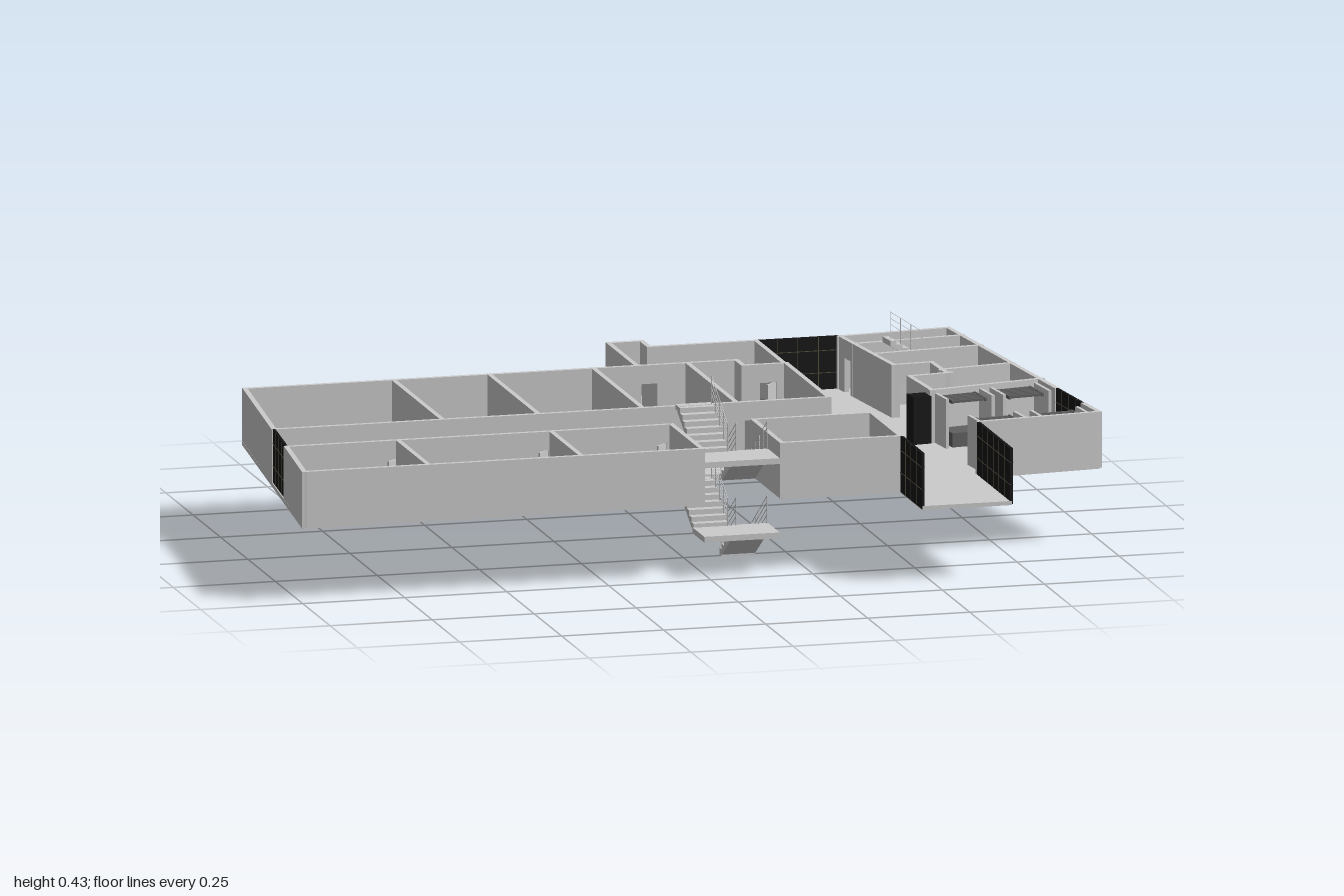
import * as THREE from 'three';

const FLOOR = 0.19, TOP = 0.318, T = 0.012;
const grey = new THREE.MeshStandardMaterial({ color: 0xcccccc, flatShading: true });
const black = new THREE.MeshStandardMaterial({ color: 0x141414 });
const dark = new THREE.MeshStandardMaterial({ color: 0x606060 });
const frame = new THREE.MeshStandardMaterial({ color: 0x55503c });

function add(parent, name, geo, mat = grey, x = 0, y = 0, z = 0) {
  const m = new THREE.Mesh(geo, mat);
  m.name = name;
  m.position.set(x, y, z);
  parent.add(m);
  return m;
}
const box = (w, h, d) => new THREE.BoxGeometry(w, h, d);

// A group whose local x axis runs along a plan line
function along(parent, name, x1, z1, x2, z2, y) {
  const g = new THREE.Group();
  g.name = name;
  g.position.set(x1, y, z1);
  g.rotation.y = Math.atan2(z1 - z2, x2 - x1);
  parent.add(g);
  return g;
}

// Straight wall; doors are distances from its start, swing picks the side the leaves open to
function wall(parent, name, [x1, z1, x2, z2], doors = [], swing = 1) {
  const len = Math.hypot(x2 - x1, z2 - z1), w = 0.04, h = 0.09, H = TOP - 0.183;
  const g = along(parent, name, x1, z1, x2, z2, 0.183);
  const s = new THREE.Shape();
  s.moveTo(-T / 2, 0);
  for (const d of doors) {
    s.lineTo(d, 0); s.lineTo(d, h); s.lineTo(d + w, h); s.lineTo(d + w, 0);
    const leaf = add(g, 'doorLeaf', box(w, h - 0.008, 0.004).translate(-w / 2, h / 2 + 0.004, 0), grey, d + w, 0, 0);
    leaf.rotation.y = swing * Math.PI / 4;
  }
  s.lineTo(len + T / 2, 0); s.lineTo(len + T / 2, H); s.lineTo(-T / 2, H);
  add(g, 'wallPanel', new THREE.ExtrudeGeometry(s, { depth: T, bevelEnabled: false }).translate(0, 0, -T / 2));
}

// Dark glazed screen with a grid of thin mullions
function glazing(parent, name, [x1, z1, x2, z2]) {
  const len = Math.hypot(x2 - x1, z2 - z1), H = TOP - 0.183, n = Math.max(3, Math.round(len / 0.05));
  const g = along(parent, name, x1, z1, x2, z2, 0.183);
  add(g, 'glassPane', box(len, H, 0.007), black, len / 2, H / 2, 0);
  for (let i = 1; i < n; i++) add(g, 'mullion', box(0.0015, H, 0.009), frame, len * i / n, H / 2, 0);
  for (const k of [0.35, 0.75]) add(g, 'transom', box(len, 0.0015, 0.009), frame, len / 2, H * k, 0);
}

function bar(parent, name, a, b, t = 0.002) {
  const d = new THREE.Vector3().subVectors(b, a);
  const m = add(parent, name, box(t, d.length(), t));
  m.position.copy(a).addScaledVector(d, 0.5);
  m.quaternion.setFromUnitVectors(new THREE.Vector3(0, 1, 0), d.normalize());
}

// Stair flight rising from its start to its end, with a railing on the given sides
function flight(parent, [x1, z1, x2, z2], y, rise, width, sides) {
  const run = Math.hypot(x2 - x1, z2 - z1), n = 7, dx = run / n, dy = rise / n;
  const g = along(parent, 'stairFlight', x1, z1, x2, z2, y);
  const s = new THREE.Shape();
  s.moveTo(0, 0);
  for (let i = 0; i < n; i++) { s.lineTo(i * dx, (i + 1) * dy); s.lineTo((i + 1) * dx, (i + 1) * dy); }
  s.lineTo(run, rise - dy * 1.3);
  s.lineTo(dx, 0);
  add(g, 'steps', new THREE.ExtrudeGeometry(s, { depth: width, bevelEnabled: false }).translate(0, 0, -width / 2));
  const P = (t, h, z) => new THREE.Vector3(t * run, t * rise + h, z);
  for (const side of sides) {
    const z = side * (width / 2 - 0.003);
    for (const h of [0.025, 0.04, 0.055, 0.07]) bar(g, 'handrail', P(0, h, z), P(1, h, z), 0.0012);
    for (let i = 0; i <= 4; i++) bar(g, 'railPost', P(i / 4, 0, z), P(i / 4, 0.07, z), 0.0015);
  }
}

export function createModel() {
  const model = new THREE.Group();
  model.name = 'buildingStorey';

  // Floor slab, notched for the front stairwell
  const outline = [[-0.9, -0.427], [-1, 0.497], [-0.02, 0.497], [-0.02, 0.215], [0.18, 0.215], [0.18, 0.48],
    [0.47, 0.48], [0.47, 0.68], [0.69, 0.68], [0.69, 0.38], [0.995, 0.35], [0.89, -0.637], [0.61, -0.61],
    [0.61, -0.62], [0.147, -0.62], [0.147, -0.685], [0.06, -0.685], [0.06, -0.427]];
  const slab = new THREE.Shape(outline.map(([x, z]) => new THREE.Vector2(x, z)));
  add(model, 'floorSlab', new THREE.ExtrudeGeometry(slab, { depth: 0.01, bevelEnabled: false }).rotateX(Math.PI / 2), grey, 0, FLOOR, 0);

  // Outer walls
  const outer = [
    [-0.894, -0.421, -0.943, 0.025], [-0.963, 0.215, -0.994, 0.491], [-0.994, 0.491, -0.02, 0.491],
    [0.18, 0.478, 0.47, 0.478], [0.69, 0.376, 0.992, 0.345], [0.992, 0.345, 0.981, 0.25],
    [0.962, 0.07, 0.885, -0.632], [0.885, -0.632, 0.612, -0.608], [0.41, -0.614, 0.147, -0.614],
    [0.147, -0.614, 0.147, -0.679], [0.147, -0.679, 0.066, -0.679], [0.066, -0.679, 0.066, -0.421]];
  outer.forEach(l => wall(model, 'outerWall', l));
  wall(model, 'backWall', [-0.894, -0.421, 0.31, -0.421], [0.97], -1);

  // Glazed screens
  [[-0.943, 0.025, -0.963, 0.215], [0.981, 0.25, 0.962, 0.07], [0.41, -0.614, 0.612, -0.614],
    [0.472, 0.484, 0.472, 0.68], [0.688, 0.38, 0.688, 0.68]].forEach(l => glazing(model, 'glazedScreen', l));

  // Corridor walls with open doors
  wall(model, 'backCorridorWall', [-0.943, 0.025, 0.415, 0.025], [0.17, 0.41, 0.85, 1.15], -1);
  wall(model, 'frontCorridorWall', [-0.963, 0.215, -0.02, 0.215], [0.23, 0.6, 0.89], 1);
  wall(model, 'frontRoomWall', [0.18, 0.215, 0.47, 0.215], [0.02], 1);

  // Room dividers
  for (const x of [-0.53, -0.295, -0.04, 0.19]) wall(model, 'backRoomDivider', [x, -0.421, x, 0.025]);
  for (const x of [-0.69, -0.315, -0.02]) wall(model, 'frontRoomDivider', [x, 0.215, x, 0.491]);
  for (const x of [0.18, 0.47]) wall(model, 'frontRoomSide', [x, 0.215, x, 0.478]);
  wall(model, 'backRoomEnd', [0.415, -0.36, 0.415, 0.025]);
  wall(model, 'recessSide', [0.31, -0.421, 0.31, -0.36]);
  wall(model, 'recessFront', [0.31, -0.36, 0.415, -0.36], [0.04], 1);
  wall(model, 'serviceRoomSide', [0.41, -0.614, 0.41, -0.36]);
  add(model, 'shaftCover', box(0.095, 0.01, 0.095), dark, 0.357, FLOOR + 0.003, -0.477);

  // Angled wing rooms
  wall(model, 'wingCorridorWall', [0.615, -0.608, 0.655, -0.275], [0.04], -1);
  [[0.625, -0.52, 0.897, -0.545], [0.64, -0.402, 0.91, -0.428], [0.75, -0.195, 0.932, -0.222],
    [0.67, 0.015, 0.955, -0.04], [0.75, -0.28, 0.755, -0.155], [0.66, -0.145, 0.672, 0.015]].forEach(l => wall(model, 'wingWall', l));
  wall(model, 'wingDoorWall', [0.655, -0.275, 0.75, -0.28], [0.015], 1);
  wall(model, 'wingDoorWall', [0.66, -0.145, 0.765, -0.158], [0.015], 1);

  // Booths with dark slatted tops and short partitions
  for (const [x, z] of [[0.742, 0.034], [0.885, 0.02], [0.757, 0.313], [0.913, 0.3]]) {
    const booth = new THREE.Group();
    booth.name = 'booth';
    booth.position.set(x, 0, z);
    booth.rotation.y = 0.11;
    model.add(booth);
    add(booth, 'boothBench', box(0.085, 0.035, 0.085), dark, 0, FLOOR + 0.017, 0);
    for (let i = 0; i < 7; i++) add(booth, 'topSlat', box(0.085, 0.006, 0.006), dark, 0, 0.3, -0.039 + i * 0.013);
    for (const s of [-1, 1]) {
      add(booth, 'topRail', box(0.005, 0.008, 0.09), dark, s * 0.042, 0.3, 0);
      add(booth, 'boothPartition', box(0.008, 0.12, 0.1), grey, s * 0.058, FLOOR + 0.06, 0);
    }
  }

  // Black kiosk by the wing corridor
  const kiosk = add(model, 'kiosk', box(0.045, 0.115, 0.045), black, 0.642, FLOOR + 0.058, 0.008);
  kiosk.rotation.y = 0.11;

  // Front stair: two storeys of paired flights around half landings
  const front = new THREE.Group();
  front.name = 'frontStair';
  model.add(front);
  for (const y of [0, 0.18]) {
    flight(front, [0.132, 0.24, 0.132, 0.38], y + 0.004, 0.094, 0.082, [-1, 1]);
    flight(front, [0.033, 0.38, 0.033, 0.235], y + 0.098, 0.086, 0.086, [1]);
    add(front, 'halfLanding', box(0.185, 0.014, 0.105), grey, 0.081, y + 0.094, 0.43);
    add(front, 'floorLanding', box(0.086, 0.012, 0.025), grey, 0.033, y + 0.179, 0.226);
  }
  add(front, 'stairGround', box(0.082, 0.004, 0.02), grey, 0.132, 0.002, 0.25);

  // Back stair inside the angled wing
  const back = new THREE.Group();
  back.name = 'backStair';
  model.add(back);
  for (const y of [0.045, 0.19]) {
    flight(back, [0.705, -0.438, 0.81, -0.45], y, 0.07, 0.052, [-1]);
    flight(back, [0.803, -0.508, 0.698, -0.496], y + 0.07, 0.07, 0.052, [-1]);
    const low = y < 0.1;
    const landing = add(back, 'halfLanding', box(low ? 0.1 : 0.075, 0.01, 0.115), grey, low ? 0.857 : 0.845, y + 0.066, -0.483);
    landing.rotation.y = 0.11;
  }
  return model;
}
